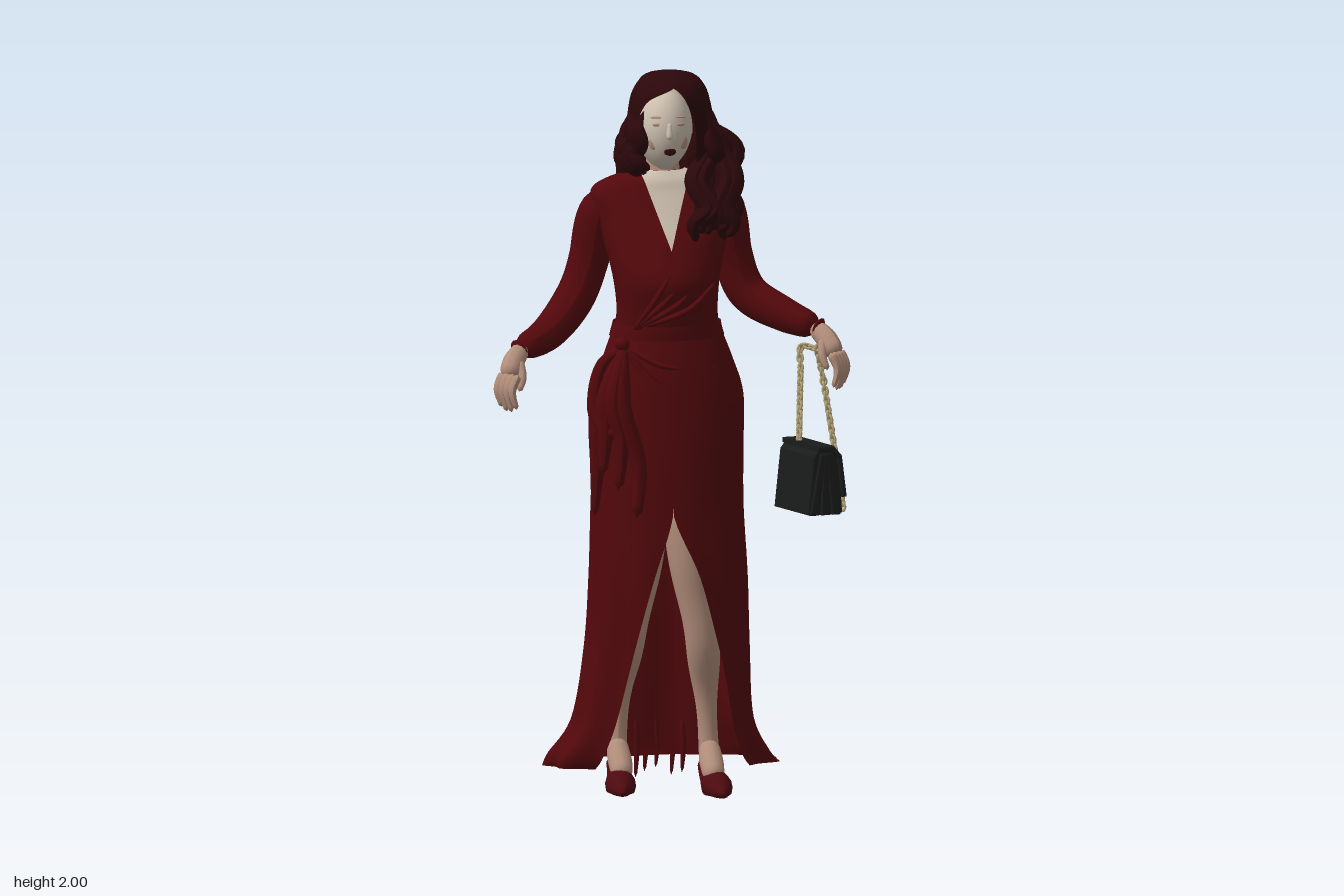
import * as THREE from 'three';
import { ParametricGeometry } from 'three/addons/geometries/ParametricGeometry.js';

const mat = (name, color, side = THREE.FrontSide) =>
  Object.assign(new THREE.MeshStandardMaterial({ color, side }), { name });

// Smooth sampling of a table of cross-section rows, t in 0..1
function sample(rows, t) {
  const f = Math.min(Math.max(t, 0), 1) * (rows.length - 1);
  const i = Math.min(Math.floor(f), rows.length - 2), s = f - i;
  const at = (k) => rows[Math.min(Math.max(k, 0), rows.length - 1)];
  return rows[i].map((b, k) => {
    const a = at(i - 1)[k], c = at(i + 1)[k], d = at(i + 2)[k];
    return b + 0.5 * s * (c - a + s * (2 * a - 5 * b + 4 * c - d + s * (3 * (b - c) + d - a)));
  });
}

// Oval loft; rows are [y, xMin, xMax, zBack, zFront, openingMin, openingMax]
function loft(rows, nu, nv, ripple = () => 0) {
  return new ParametricGeometry((u, v, out) => {
    const [y, xl, xr, zb, zf, sl = 0, sr = 0] = sample(rows, v);
    const cx = (xl + xr) / 2, rx = (xr - xl) / 2, cz = (zb + zf) / 2, rz = (zf - zb) / 2;
    const ang = (s) => Math.asin(Math.min(Math.max((s - cx) / rx, -0.99), 0.99));
    const mid = (sl + sr) / 2, closed = sl >= sr;
    const a0 = ang(closed ? mid : sr), a1 = Math.PI * 2 + ang(closed ? mid : sl);
    const a = a0 + (a1 - a0) * u, k = 1 + ripple(a, v);
    out.set(cx + rx * k * Math.sin(a), y, cz + rz * k * Math.cos(a));
  }, nu, nv);
}

// Round-ended tube through points, with its own radius along the way
function limb(points, radii, segs = 24, sides = 12) {
  const curve = new THREE.CatmullRomCurve3(points.map((p) => new THREE.Vector3(...p)));
  const geo = new THREE.TubeGeometry(curve, segs, 1, sides), pos = geo.attributes.position;
  const len = curve.getLength(), p = new THREE.Vector3();
  for (let i = 0; i <= segs; i++) {
    const u = i / segs, c = curve.getPointAt(u);
    const r = sample(radii.map((x) => [x]), u)[0];
    const e = 1 - Math.min(1, (Math.min(u, 1 - u) * len) / r);
    const k = r * Math.sqrt(Math.max(0.0004, 1 - e * e));
    for (let j = 0; j <= sides; j++) {
      const n = i * (sides + 1) + j;
      p.fromBufferAttribute(pos, n).sub(c).multiplyScalar(k).add(c);
      pos.setXYZ(n, p.x, p.y, p.z);
    }
  }
  geo.computeVertexNormals();
  return geo;
}

const TORSO = [
  [1.28, -0.145, 0.155, -0.168, 0.06], [1.34, -0.135, 0.145, -0.17, 0.08],
  [1.43, -0.145, 0.15, -0.185, 0.103], [1.52, -0.165, 0.17, -0.195, 0.068],
  [1.6, -0.185, 0.19, -0.2, 0.022], [1.67, -0.2, 0.2, -0.19, -0.015],
  [1.705, -0.15, 0.15, -0.18, -0.03], [1.73, -0.06, 0.06, -0.15, -0.05]];
const SKIRT = [
  [0.065, -0.33, 0.32, -0.215, 0.04, -0.21, 0.225], [0.1, -0.318, 0.29, -0.218, 0.06, -0.19, 0.205],
  [0.2, -0.255, 0.245, -0.218, 0.085, -0.155, 0.175], [0.4, -0.222, 0.235, -0.215, 0.1, -0.105, 0.135],
  [0.6, -0.21, 0.23, -0.215, 0.11, -0.055, 0.08], [0.79, -0.205, 0.22, -0.215, 0.105, 0, 0],
  [0.95, -0.2, 0.22, -0.215, 0.1, 0, 0], [1.1, -0.2, 0.22, -0.207, 0.09, 0, 0],
  [1.2, -0.175, 0.19, -0.19, 0.08, 0, 0], [1.3, -0.14, 0.15, -0.168, 0.06, 0, 0]];
const HAIR = [
  [1.64, -0.06, 0.12, -0.215, -0.06, -0.055, 0.1], [1.7, -0.1, 0.15, -0.25, -0.03, -0.078, 0.085],
  [1.78, -0.105, 0.165, -0.26, 0, -0.082, 0.08], [1.86, -0.095, 0.145, -0.25, 0.022, -0.08, 0.075],
  [1.93, -0.085, 0.13, -0.235, 0.026, -0.052, 0.05], [1.97, -0.065, 0.11, -0.21, 0.005, 0.02, 0.02],
  [1.99, -0.04, 0.085, -0.18, -0.04, 0.022, 0.022], [2.0, 0.0224, 0.0226, -0.115, -0.1148, 0.0225, 0.0225]];

// Patch lying on the front of the bodice between two x edges that depend on y
const bodicePatch = (from, to, lift, edgeA, edgeB) => new ParametricGeometry((u, v, out) => {
  const [y, xl, xr, zb, zf] = sample(TORSO, from + (to - from) * v);
  const x = THREE.MathUtils.clamp(THREE.MathUtils.lerp(edgeA(y), edgeB(y), u), xl, xr);
  const q = (2 * x - xl - xr) / (xr - xl);
  out.set(x, y, (zb + zf) / 2 + ((zf - zb) / 2) * Math.sqrt(Math.max(0, 1 - q * q)) + lift);
}, 10, 24);

export function createModel() {
  const model = new THREE.Group();
  const dress = mat('dark red cloth', 0x53080c, THREE.DoubleSide);
  const hair = mat('deep auburn hair', 0x2b070a, THREE.DoubleSide);
  const skin = mat('skin', 0xb28e7b);
  const pale = mat('pale skin', 0xcdc0b0, THREE.DoubleSide);
  const black = mat('black leather', 0x1a1b1b);
  const gold = mat('pale gold', 0xb8a87c);
  const shoeRed = mat('red leather', 0x4e0a10);
  const lipRed = mat('dark lip', 0x360a0d);
  const add = (name, geo, material, parent = model) => {
    const m = new THREE.Mesh(geo, material);
    m.name = name;
    parent.add(m);
    return m;
  };
  let seed = 7;
  const rnd = () => (seed = (seed * 16807) % 2147483647) / 2147483647;

  // Dress: slit skirt with folds that deepen toward the hem, bodice, belt
  add('skirt', loft(SKIRT, 120, 60, (a, v) =>
    0.035 * (1 - v) ** 2 * Math.sin(a * 11) + 0.01 * (1 - v) * Math.sin(a * 5 + v * 6)), dress);
  add('bodice', loft(TORSO, 64, 36, (a, v) =>
    0.012 * Math.sin(v * 26 + a * 2) * Math.max(0, Math.cos(a)) * (1 - v)), dress);
  add('belt', loft([[1.27, -0.155, 0.165, -0.177, 0.073], [1.29, -0.15, 0.159, -0.176, 0.075],
    [1.31, -0.145, 0.155, -0.173, 0.075]], 48, 6), dress);

  // Plunging neckline with lapels
  const w = (y) => Math.max(0, (y - 1.52) * 0.33);
  add('chest', bodicePatch(3 / 7, 1, 0.004, (y) => -w(y), w), pale);
  for (const s of [-1, 1]) {
    const lapel = (y) => s * (w(y) + 0.05 * Math.sin(Math.min(1, Math.max(0, (y - 1.45) / 0.24)) * 2.6));
    const edge = (y) => s * w(y);
    add('lapel', bodicePatch(2.3 / 7, 6.2 / 7, 0.01, s < 0 ? lapel : edge, s < 0 ? edge : lapel), dress);
  }
  for (let i = 0; i < 4; i++) {
    add('wrapFold', limb([[0.02 + i * 0.035, 1.52 - i * 0.03, 0.065 - i * 0.002],
      [-0.03 + i * 0.025, 1.42 - i * 0.02, 0.096 - i * 0.002], [-0.1, 1.3, 0.04]],
    [0.005, 0.009, 0.006]), dress);
    add('hipFold', limb([[-0.12, 1.25, 0.04], [-0.02, 1.2 - i * 0.05, 0.077],
      [0.13, 1.19 - i * 0.07, 0.05]], [0.008, 0.007, 0.003]), dress);
  }

  // Side sash: knot, loops and hanging tails
  const sash = new THREE.Group();
  sash.name = 'sash';
  model.add(sash);
  add('knot', limb([[-0.15, 1.275, 0.045], [-0.12, 1.25, 0.06]], [0.02, 0.02]), dress, sash);
  [[-0.21, 0.78, 0.035], [-0.19, 0.9, 0.06], [-0.15, 0.86, 0.08], [-0.1, 0.78, 0.085]]
    .forEach(([x, y, z], i) => add('tail', limb([[-0.13, 1.26, 0.055],
      [(x - 0.15) / 2 - 0.015, 1.1, z - 0.005], [x + 0.008, y + 0.14, z], [x, y, z]],
    [0.012, 0.024, 0.022, 0.01 + 0.002 * i]), dress, sash));
  add('loop', limb([[-0.14, 1.25, 0.05], [-0.19, 1.2, 0.035], [-0.2, 1.05, 0.035],
    [-0.15, 1.02, 0.075], [-0.13, 1.24, 0.065]], [0.014, 0.022, 0.024, 0.02, 0.012]), dress, sash);

  // Frayed threads under the back hem
  [[-0.06, -0.2], [-0.03, -0.232], [0, -0.225], [0.045, -0.232], [0.07, -0.2]].forEach(([x, z], i) =>
    add('hemThread', limb([[x, 0.17, z + 0.005], [x + 0.004, 0.08, z], [x, 0.005 + 0.012 * (i % 3), z]],
      [0.006, 0.008, 0.004], 12, 6), dress));

  // Arms: sleeve, cuff and hand; s is the side, dy lowers the hand
  for (const [s, dy] of [[-1, -0.03], [1, 0.01]]) {
    const arm = new THREE.Group();
    arm.name = s < 0 ? 'rightArm' : 'leftArm';
    model.add(arm);
    const P = (x, y, z) => [s * x, y + dy, z];
    add('sleeve', limb([[s * 0.15, 1.655, -0.105], [s * 0.178, 1.61, -0.115], [s * 0.2, 1.48, -0.128],
      [s * 0.24, 1.375, -0.115], P(0.33, 1.31, -0.05), P(0.415, 1.28, 0.02)],
    [0.05, 0.058, 0.056, 0.055, 0.048, 0.036], 40, 16), dress, arm);
    for (let i = 0; i < 3; i++) add('cuffFold', limb([P(0.365 + i * 0.022, 1.3 - i * 0.009, -0.026 + i * 0.02),
      P(0.385 + i * 0.022, 1.292 - i * 0.009, -0.01 + i * 0.02)], [0.044, 0.041], 12), dress, arm);
    add('palm', limb([P(0.405, 1.285, 0.01), P(0.435, 1.255, 0.045), P(0.46, 1.21, 0.085)],
      [0.024, 0.03, 0.028]), skin, arm);
    for (let f = 0; f < 4; f++) {
      const x = 0.486 - f * 0.011, z = 0.068 + f * 0.018;
      add('finger', limb([P(x - 0.016, 1.225, z), P(x + 0.002, 1.18, z + 0.01),
        P(x - 0.01, 1.115 + 0.01 * Math.abs(f - 1.5), z + 0.014)], [0.013, 0.011, 0.007], 14, 8), skin, arm);
    }
    add('thumb', limb([P(0.425, 1.255, 0.06), P(0.42, 1.21, 0.09), P(0.432, 1.175, 0.105)],
      [0.013, 0.012, 0.008], 14, 8), skin, arm);
  }

  // Legs and stiletto shoes; the right one stands farther back
  for (const [s, x, dz] of [[-1, -0.128, -0.07], [1, 0.118, 0]]) {
    const leg = new THREE.Group();
    leg.name = s < 0 ? 'rightLeg' : 'leftLeg';
    leg.position.set(x, 0, dz);
    model.add(leg);
    add('shin', limb([[-s * 0.07, 0.82, -dz * 0.8 - 0.005], [-s * 0.055, 0.6, 0.015 - dz * 0.5],
      [-s * 0.025, 0.43, 0.015 - dz * 0.3], [-s * 0.01, 0.29, -0.02], [0, 0.12, -0.025], [0, 0.07, -0.015]],
    [0.068, 0.06, 0.047, 0.046, 0.029, 0.029], 36, 16), skin, leg);
    add('instep', limb([[0, 0.13, -0.022], [0, 0.08, 0.03], [0, 0.042, 0.09]], [0.028, 0.034, 0.028]), skin, leg);
    const shoe = limb([[0, 0.08, -0.045], [0, 0.045, 0.01], [s * 0.006, 0.022, 0.08], [s * 0.012, 0.012, 0.175]],
      [0.03, 0.033, 0.042, 0.012], 32, 16);
    const p = shoe.attributes.position;
    for (let i = 0; i < p.count; i++) p.setY(i, Math.max(0, p.getY(i)));
    shoe.computeVertexNormals();
    add('shoe', shoe, shoeRed, leg);
    add('heel', limb([[0, 0.08, -0.05], [0, 0.04, -0.058], [0, 0, -0.058]], [0.022, 0.009, 0.006], 16, 8), shoeRed, leg);
  }

  // Head: egg with a narrowed jaw, neck and painted features
  const skull = new THREE.SphereGeometry(1, 40, 32), sp = skull.attributes.position;
  for (let i = 0; i < sp.count; i++) {
    const y = sp.getY(i), k = y < 0 ? 1 - 0.3 * y * y : 1;
    sp.setXYZ(i, sp.getX(i) * 0.08 * k, y * 0.118, sp.getZ(i) * 0.1);
  }
  skull.computeVertexNormals();
  add('head', skull, pale).position.set(0.001, 1.842, -0.085);
  add('neck', limb([[0, 1.64, -0.09], [0, 1.72, -0.095], [0, 1.8, -0.1]], [0.06, 0.048, 0.046]), skin);
  add('nose', limb([[0.003, 1.872, 0.008], [0.003, 1.84, 0.016], [0.003, 1.825, 0.016]], [0.006, 0.008, 0.01], 12, 8), pale);
  const plate = (name, x, y, z, rx, ry, m) => {
    const f = add(name, new THREE.SphereGeometry(1, 14, 8).scale(rx, ry, 0.004), m);
    f.position.set(x, y, z);
    f.rotation.y = x * 7;
  };
  for (const s of [-1, 1]) {
    plate('eye', 0.003 + s * 0.032, 1.866, 0.003, 0.014, 0.005, skin);
    plate('brow', 0.003 + s * 0.034, 1.886, -0.001, 0.018, 0.003, skin);
    plate('cheek', 0.003 + s * 0.042, 1.815, -0.008, 0.013, 0.02, skin);
  }
  plate('lips', 0.006, 1.79, 0.005, 0.017, 0.011, lipRed);

  // Hair: parted cap, curly locks around it and a mass over the left shoulder
  add('hairCap', loft(HAIR, 90, 36, (a, v) => 0.03 * (1 - v) * Math.sin(a * 13 + v * 9)), hair);
  for (let i = 0; i < 30; i++) {
    const a = 0.95 + (i / 29) * 4.35, sx = Math.sin(a), cz = Math.cos(a), ph = rnd() * 6.28;
    const end = 1.62 + rnd() * 0.06 + 0.07 * Math.max(0, cz - 0.1 - sx), path = [];
    for (let k = 0; k < 9; k++) {
      const t = k / 8, r = 0.9 + 0.17 * Math.sin(t * 3) - 0.12 * t ** 3;
      const wave = 0.026 * Math.sin(t * 12 + ph) * t, bob = 0.016 * Math.cos(t * 12 + ph) * t;
      path.push([0.028 + sx * ((0.108 + 0.024 * t) * r + bob) + cz * wave, 1.9 + (end - 1.9) * t,
        -0.115 + cz * (0.138 * r + bob) - sx * wave]);
    }
    add('lock', limb(path, [0.008, 0.016, 0.022, 0.026, 0.022, 0.009], 40, 8), hair);
  }
  for (let i = 0; i < 10; i++) {
    const x = 0.08 + (i % 5) * 0.021, z = 0.035 - (i % 3) * 0.03, c = (i % 2 ? 1 : -1) * 0.016;
    add('frontLock', limb([[0.088 + 0.004 * i, 1.87, -0.045], [x + 0.02 - c, 1.78, -0.055],
      [x + 0.008 + c, 1.7, z - 0.035], [x + 0.01 - c, 1.63, z], [x + c, 1.59, z + 0.012],
      [x - 0.005, 1.54 + 0.012 * (i % 4), z + 0.005]], [0.012, 0.022, 0.026, 0.026, 0.024, 0.01], 32, 8), hair);
  }

  // Handbag: wedge body, flap and gusset pleats
  const bag = new THREE.Group();
  bag.name = 'handbag';
  bag.position.set(0.375, 0.8, 0.138);
  bag.rotation.set(-0.05, 0.22, 0, 'YXZ');
  model.add(bag);
  const wedge = (pts, depth) => new THREE.ExtrudeGeometry(new THREE.Shape(pts.map((q) => new THREE.Vector2(...q))),
    { depth, bevelSize: 0.004, bevelThickness: 0.004, bevelSegments: 2 }).translate(0, 0, -depth / 2);
  add('bagBody', wedge([[-0.05, 0.005], [0.045, 0.005], [0.036, 0.16], [0.02, 0.178], [-0.016, 0.178], [-0.03, 0.16]], 0.25), black, bag);
  add('bagFlap', wedge([[0.05, 0.05], [0.056, 0.05], [0.044, 0.16], [0.022, 0.186], [-0.02, 0.186], [-0.02, 0.18],
    [0.02, 0.18], [0.038, 0.157]], 0.268), black, bag);
  for (let i = 0; i < 3; i++) add('pleat', wedge([[-0.045 + i * 0.032, 0.002], [-0.027 + i * 0.032, 0.002],
    [-0.004 + i * 0.008, 0.165], [-0.012 + i * 0.008, 0.165]], 0.268), black, bag);

  // Chain strap: alternating links hanging from the left hand
  const strands = [[[0.41, 1.235, 0.05], [0.37, 1.24, 0.03], [0.365, 1.18, 0.045], [0.352, 0.98, 0.1]],
    [[0.41, 1.235, 0.05], [0.425, 1.17, 0.04], [0.45, 1, 0.065], [0.475, 0.8, 0.1]]];
  const link = new THREE.TorusGeometry(0.0085, 0.004, 6, 10).scale(0.9, 1.25, 1);
  const up = new THREE.Vector3(0, 1, 0);
  for (const pts of strands) {
    const curve = new THREE.CatmullRomCurve3(pts.map((q) => new THREE.Vector3(...q)));
    const n = Math.round(curve.getLength() / 0.0135);
    for (let i = 0; i <= n; i++) {
      const l = add('chainLink', link, gold);
      l.position.copy(curve.getPointAt(i / n));
      l.quaternion.setFromUnitVectors(up, curve.getTangentAt(i / n));
      l.rotateY(0.5 + (i % 2) * Math.PI / 2);
    }
  }
  return model;
}
